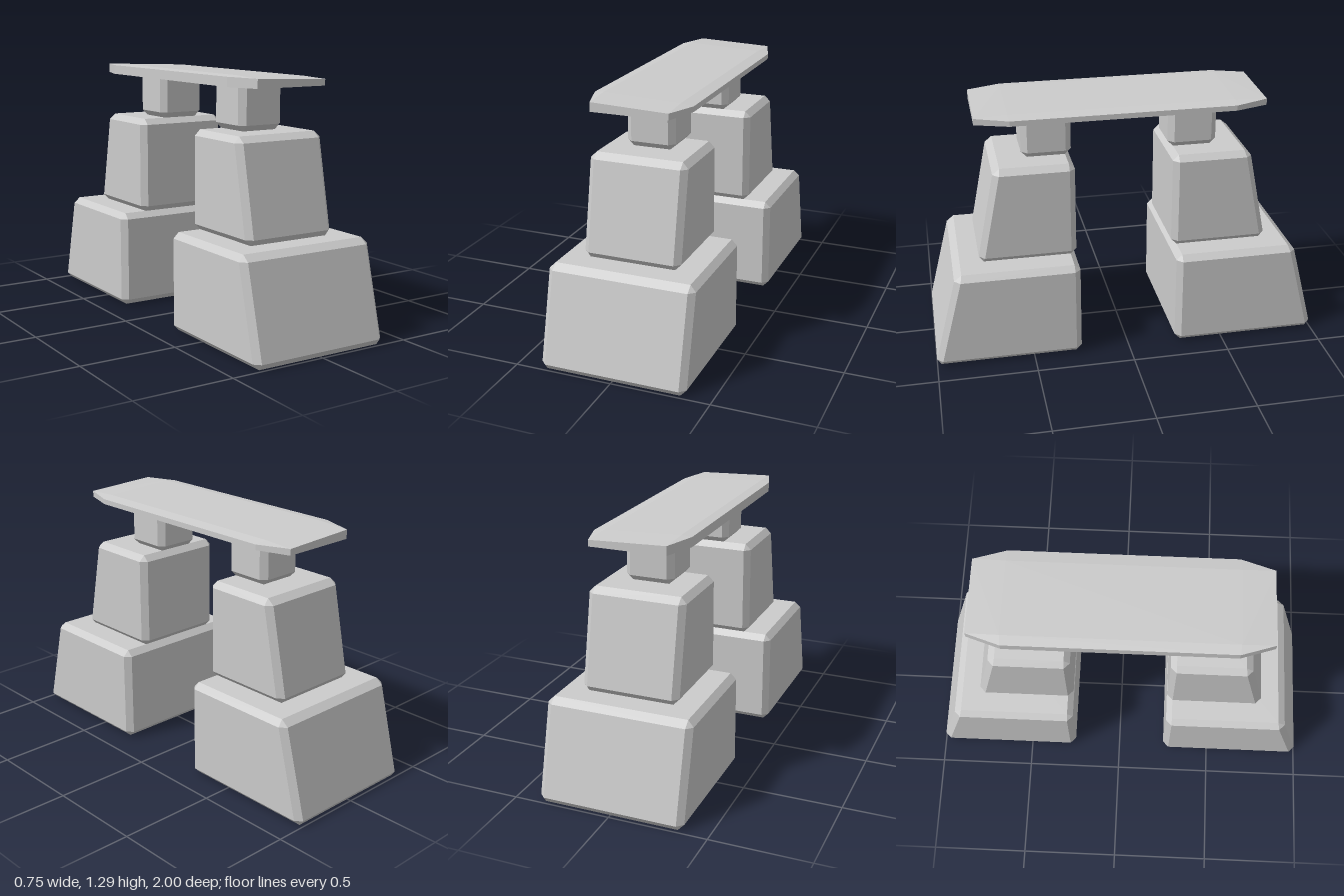
import * as THREE from 'three';
import { ConvexGeometry } from 'three/addons/geometries/ConvexGeometry.js';

const BEVEL = 0.03;
const INNER = 0.25;

const stone = new THREE.MeshStandardMaterial({ color: 0xcccccc, flatShading: true });

function hull(name, points) {
  const mesh = new THREE.Mesh(new ConvexGeometry(points), stone);
  mesh.name = name;
  return mesh;
}

// Chamfered block whose outer face leans from zBottom to zTop; side is +1 (front) or -1 (back)
function block(name, side, halfX, y0, y1, zBottom, zTop) {
  const points = [];
  const outerAt = (y) =>
    THREE.MathUtils.mapLinear(y, y0 + BEVEL, y1 - BEVEL, zBottom, zTop);
  for (const sx of [-1, 1]) {
    for (const top of [false, true]) {
      for (const outer of [false, true]) {
        // Three points per corner, each lying on one of the three faces
        for (let face = 0; face < 3; face++) {
          const bx = face === 0 ? 0 : BEVEL;
          const by = face === 1 ? 0 : BEVEL;
          const bz = face === 2 ? 0 : BEVEL;
          const y = top ? y1 - by : y0 + by;
          const z = outer ? outerAt(y) - bz : INNER + bz;
          points.push(new THREE.Vector3(sx * (halfX - bx), y, side * z));
        }
      }
    }
  }
  return hull(name, points);
}

// Three stacked blocks
function createPier(name, side) {
  const pier = new THREE.Group();
  pier.name = name;
  pier.add(
    block('baseBlock', side, 0.375, 0, 0.505, 1.0, 0.885),
    block('middleBlock', side, 0.25, 0.505, 1.008, 0.75, 0.66),
    block('neckBlock', side, 0.125, 1.008, 1.26, 0.503, 0.503)
  );
  return pier;
}

// Eight-sided lintel, thinner toward its left side, with gently dropped edges
function createLintel() {
  const points = [];
  const bottom = 1.235;
  for (const sz of [-1, 1]) {
    for (const [x, z, top] of [
      [-0.25, 0.565, 1.283], [-0.195, 0.735, 1.281],
      [0.195, 0.735, 1.267], [0.25, 0.565, 1.262],
    ]) {
      points.push(new THREE.Vector3(x, bottom, sz * z));
      points.push(new THREE.Vector3(x, top, sz * z));
    }
    // Crown of the top face
    points.push(new THREE.Vector3(-0.2, 1.289, sz * 0.57));
    points.push(new THREE.Vector3(0.19, 1.273, sz * 0.57));
  }
  return hull('lintel', points);
}

export function createModel() {
  const model = new THREE.Group();
  model.name = 'stoneArch';
  model.add(createPier('frontPier', 1), createPier('backPier', -1), createLintel());
  return model;
}
